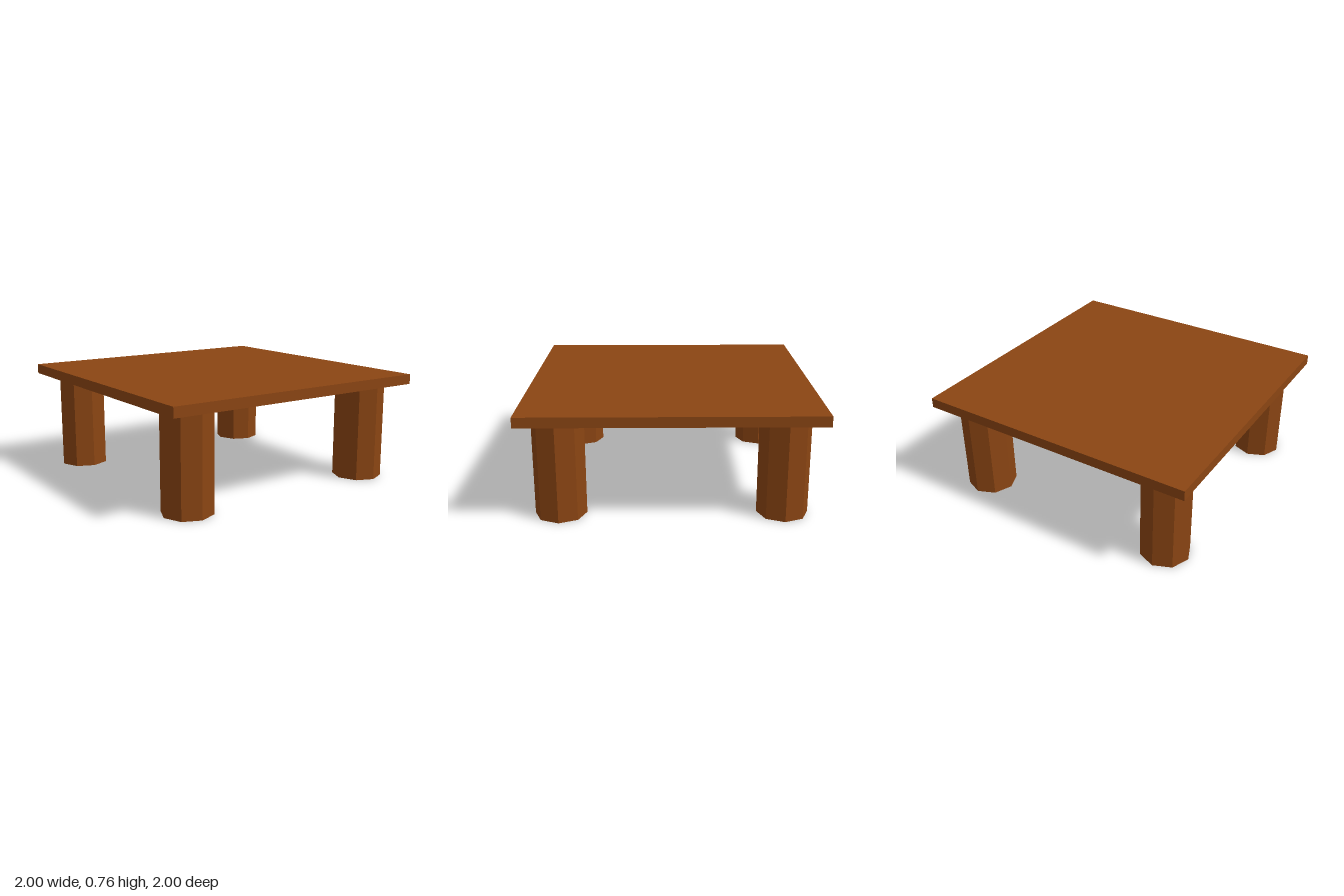
import * as THREE from 'three';

export function createModel() {
  const model = new THREE.Group();
  model.name = 'table';
  const wood = new THREE.MeshStandardMaterial({ color: 0x8b4513, flatShading: true });

  const legHeight = 0.69, topThickness = 0.07;

  // Square slab top
  const top = new THREE.Mesh(new THREE.BoxGeometry(2, topThickness, 2), wood);
  top.name = 'tableTop';
  top.position.y = legHeight + topThickness / 2;
  model.add(top);

  // Four octagonal legs, inset from the corners
  const legGeometry = new THREE.CylinderGeometry(0.175, 0.175, legHeight, 8);
  for (const [zName, z] of [['front', 0.75], ['back', -0.75]]) {
    for (const [xName, x] of [['Left', 0.75], ['Right', -0.75]]) {
      const leg = new THREE.Mesh(legGeometry, wood);
      leg.name = `${zName}${xName}Leg`;
      leg.position.set(x, legHeight / 2, z);
      model.add(leg);
    }
  }

  return model;
}
